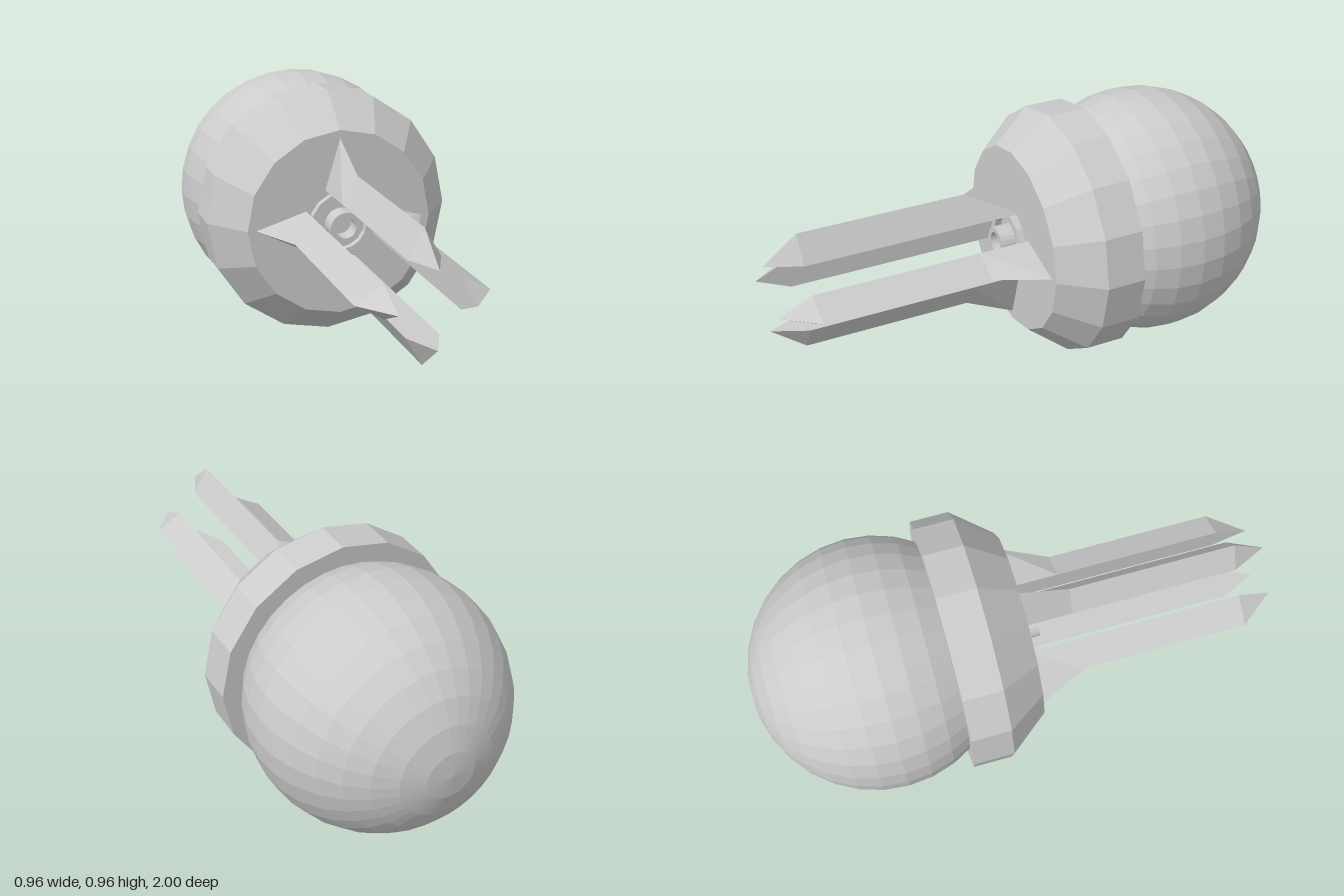
import * as THREE from 'three';

const material = new THREE.MeshStandardMaterial({ color: 0xcccccc, flatShading: true });

function addMesh(parent, name, geometry) {
  const mesh = new THREE.Mesh(geometry, material);
  mesh.name = name;
  parent.add(mesh);
  return mesh;
}

// Turned solid around the z axis from [radius, z] pairs, outer side running back to front.
function turned(profile, sides) {
  const points = profile.map(([r, z]) => new THREE.Vector2(r, z));
  return new THREE.LatheGeometry(points, sides).rotateX(Math.PI / 2);
}

// Triangular blade: flared root, straight shaft and a point on its inner face.
function prongGeometry() {
  const inner = 0.135, half = 0.059;
  const sections = [[0.03, 0.332], [0.23, 0.237], [0.87, 0.237]]; // [z, ridge radius]
  const positions = [], index = [];
  for (const [z, ridge] of sections) {
    positions.push(-half, inner, z, half, inner, z, 0, ridge, z);
  }
  const tip = sections.length * 3;
  positions.push(0, inner, 1);
  for (let s = 0; s < sections.length; s++) {
    for (let i = 0; i < 3; i++) {
      const a = s * 3 + i, b = s * 3 + (i + 1) % 3;
      if (s === sections.length - 1) index.push(a, b, tip);
      else index.push(a, b, b + 3, a, b + 3, a + 3);
    }
  }
  index.push(0, 2, 1);
  const geometry = new THREE.BufferGeometry();
  geometry.setAttribute('position', new THREE.Float32BufferAttribute(positions, 3));
  geometry.setIndex(index);
  geometry.computeVertexNormals();
  return geometry;
}

export function createModel() {
  const model = new THREE.Group();
  model.name = 'prongedSphere';

  // Rear ball, poles along z
  const ball = new THREE.SphereGeometry(0.48, 32, 16).rotateX(Math.PI / 2);
  addMesh(model, 'ball', ball).position.z = -0.52;

  // Faceted collar with a chamfered front
  addMesh(model, 'collar', turned(
    [[0, -0.265], [0.482, -0.265], [0.482, -0.115], [0.362, 0.035], [0, 0.035]], 16));

  // Shallow rim around the nozzle
  addMesh(model, 'nozzleRim', turned(
    [[0.125, 0.03], [0.125, 0.062], [0.097, 0.062], [0.097, 0.03]], 16));

  // Hollow nozzle in the middle
  addMesh(model, 'nozzle', turned(
    [[0.061, 0.03], [0.061, 0.105], [0.04, 0.105], [0.04, 0.04], [0, 0.04]], 24));

  // Four prongs around the nozzle
  const prong = prongGeometry();
  for (let i = 0; i < 4; i++) {
    addMesh(model, 'prong' + (i + 1), prong).rotation.z = i * Math.PI / 2;
  }

  for (const part of model.children) part.position.y = 0.483;
  return model;
}
